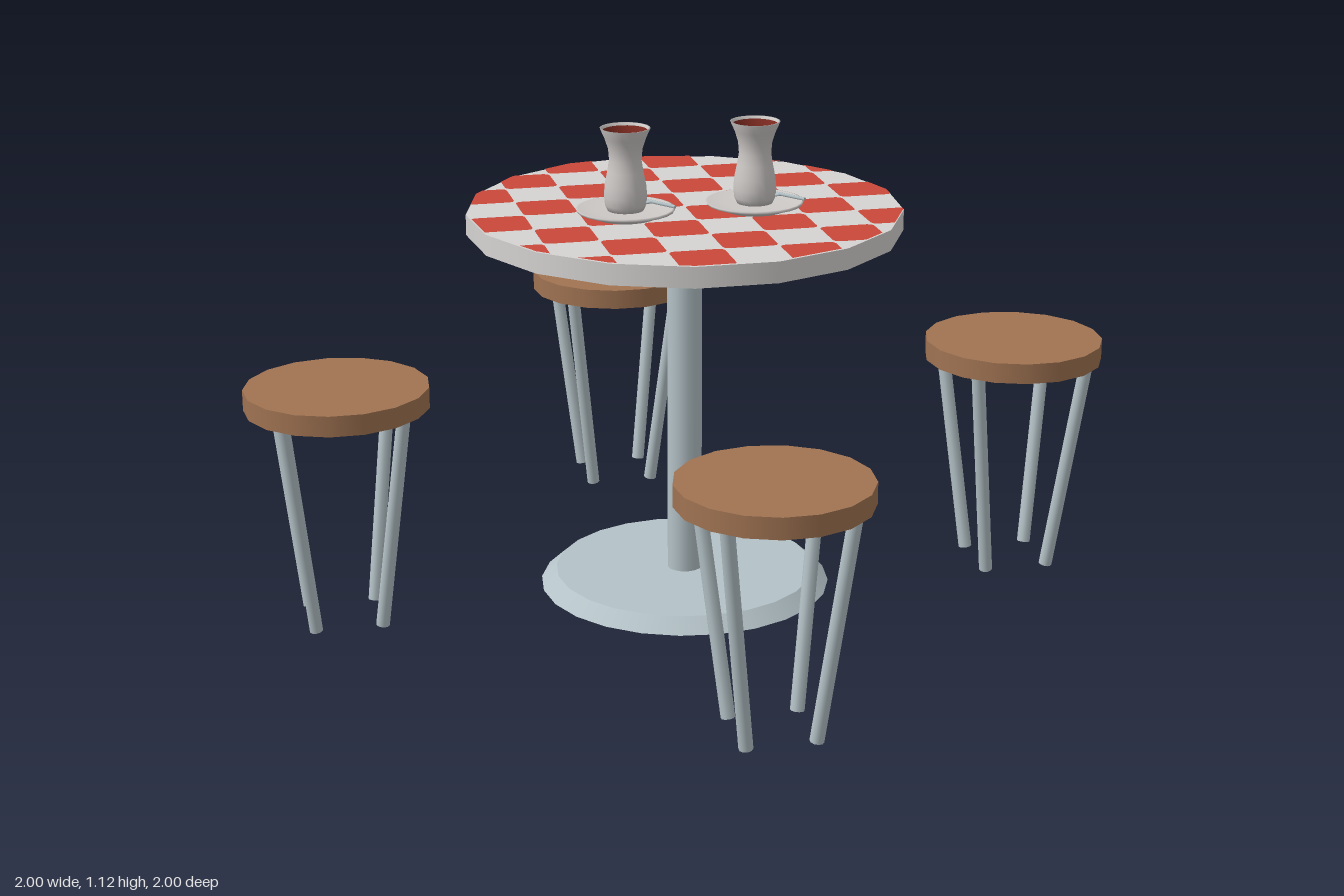
import * as THREE from 'three';
import { mergeGeometries } from 'three/addons/utils/BufferGeometryUtils.js';

const material = (name, color) => {
  const m = new THREE.MeshStandardMaterial({ color });
  m.name = name;
  return m;
};

const SIDES = 17; // seats and tabletop are visibly many-sided
const TABLE_R = 0.49, TABLE_TOP = 0.915, TABLE_BOTTOM = 0.868;

export function createModel() {
  const wood = material('brown wood', 0xa07352);
  const metal = material('pale metal', 0xb4c2c7);
  const white = material('white cloth', 0xd6d4d2);
  const red = material('red check', 0xc9483a);
  const glass = material('glass and china', 0xcdc9c7);
  const tea = material('dark red tea', 0x7c2a20);

  const root = new THREE.Group();
  root.name = 'tableSet';
  const add = (parent, name, geometry, mat) => {
    const mesh = new THREE.Mesh(geometry, mat);
    mesh.name = name;
    parent.add(mesh);
    return mesh;
  };

  // Upright cylinder between two heights, with a vertex towards the back
  const disc = (rTop, rBottom, y0, y1, sides) =>
    new THREE.CylinderGeometry(rTop, rBottom, y1 - y0, sides, 1, false, Math.PI)
      .translate(0, (y0 + y1) / 2, 0);

  // Straight rod between two points
  const rod = (a, b, r, sides) => {
    const dir = b.clone().sub(a);
    const q = new THREE.Quaternion().setFromUnitVectors(
      new THREE.Vector3(0, 1, 0), dir.clone().normalize());
    const mid = a.clone().add(b).multiplyScalar(0.5);
    return new THREE.CylinderGeometry(r, r, dir.length(), sides)
      .applyQuaternion(q).translate(mid.x, mid.y, mid.z);
  };

  const lathe = (points, sides) =>
    new THREE.LatheGeometry(points.map(([r, y]) => new THREE.Vector2(r, y)), sides);

  // Table: base, column and round top
  const table = new THREE.Group();
  table.name = 'table';
  root.add(table);
  add(table, 'tableBase', disc(0.3, 0.335, 0.018, 0.05, 24), metal);
  add(table, 'tableColumn', disc(0.04, 0.04, 0.045, 0.87, 16), metal);
  add(table, 'tabletop', disc(TABLE_R, TABLE_R, TABLE_BOTTOM, TABLE_TOP, SIDES), white);

  // Red checks: round-cornered squares trimmed to the tabletop outline
  const cell = 0.1215, corner = 0.013;
  const trim = (points) => {
    const limit = TABLE_R * Math.cos(Math.PI / SIDES) - 0.001;
    for (let i = 0; i < SIDES; i++) {
      const a = (i + 0.5) * 2 * Math.PI / SIDES;
      const over = (p) => p.x * Math.sin(a) - p.y * Math.cos(a) - limit;
      const kept = [];
      points.forEach((p, k) => {
        const q = points[(k + 1) % points.length];
        const dp = over(p), dq = over(q);
        if (dp <= 0) kept.push(p);
        if (dp * dq < 0) kept.push(p.clone().lerp(q, dp / (dp - dq)));
      });
      points = kept;
    }
    return points;
  };
  const checks = [];
  for (let ix = -4; ix < 4; ix++) {
    for (let iz = -4; iz < 4; iz++) {
      if ((ix + iz) % 2 !== 0) continue;
      const square = [];
      for (let c = 0; c < 4; c++) {
        const a0 = Math.PI / 4 + c * Math.PI / 2;
        const h = (cell / 2 - corner) * Math.SQRT2;
        for (let s = -1; s <= 1; s++) {
          const a = a0 + s * Math.PI / 4;
          square.push(new THREE.Vector2(
            (ix + 0.5) * cell + h * Math.cos(a0) + corner * Math.cos(a),
            (iz + 0.5) * cell + h * Math.sin(a0) + corner * Math.sin(a)));
        }
      }
      const outline = trim(square);
      if (outline.length < 3) continue;
      const flipped = outline.map((p) => new THREE.Vector2(p.x, -p.y));
      checks.push(
        new THREE.ShapeGeometry(new THREE.Shape(flipped))
          .rotateX(-Math.PI / 2).translate(0, TABLE_TOP + 0.002, 0),
        new THREE.ShapeGeometry(new THREE.Shape(outline))
          .rotateX(Math.PI / 2).translate(0, TABLE_BOTTOM - 0.002, 0));
    }
  }
  add(table, 'redChecks', mergeGeometries(checks), red);

  // Four stools, each with four legs leaning inwards towards the floor
  for (const [x, z] of [[-0.793, 0], [0.793, 0], [0, -0.793], [0, 0.793]]) {
    const stool = new THREE.Group();
    stool.name = 'stool';
    stool.position.set(x, 0, z);
    add(stool, 'seat', disc(0.207, 0.207, 0.505, 0.552, SIDES), wood);
    for (const sx of [-1, 1]) {
      for (const sz of [-1, 1]) {
        add(stool, 'stoolLeg', rod(
          new THREE.Vector3(sx * 0.075, 0.003, sz * 0.075),
          new THREE.Vector3(sx * 0.131, 0.51, sz * 0.131), 0.0155, 10), metal);
      }
    }
    root.add(stool);
  }

  // Two waisted tea glasses on saucers
  for (const x of [-0.147, 0.147]) {
    const service = new THREE.Group();
    service.name = 'teaService';
    service.position.set(x, 0, 0.057);

    add(service, 'saucer', lathe([
      [0, 0.917], [0.07, 0.917], [0.08, 0.922], [0.108, 0.931], [0.11, 0.936],
      [0.105, 0.937], [0.07, 0.93], [0, 0.93]], 24), glass);

    add(service, 'teaGlass', lathe([
      [0, 0.932], [0.04, 0.932], [0.046, 0.945], [0.048, 0.965], [0.046, 0.99],
      [0.04, 1.02], [0.036, 1.045], [0.038, 1.07], [0.046, 1.095], [0.056, 1.117],
      [0.052, 1.117], [0.049, 1.108]], 20), glass);

    // Tea surface with the tinted wall above it
    add(service, 'tea', lathe([
      [0.051, 1.113], [0.042, 1.095], [0.035, 1.072], [0, 1.072]], 20), tea);

    // Spoon resting across the saucer
    add(service, 'spoonHandle', rod(
      new THREE.Vector3(0.03, 0.952, -0.015),
      new THREE.Vector3(0.095, 0.952, 0.075), 0.004, 6), metal);
    const bowl = new THREE.SphereGeometry(0.013, 10, 6).scale(1, 0.3, 1);
    add(service, 'spoonBowl', bowl, metal).position.set(0.048, 0.95, 0.01);

    root.add(service);
  }
  return root;
}
